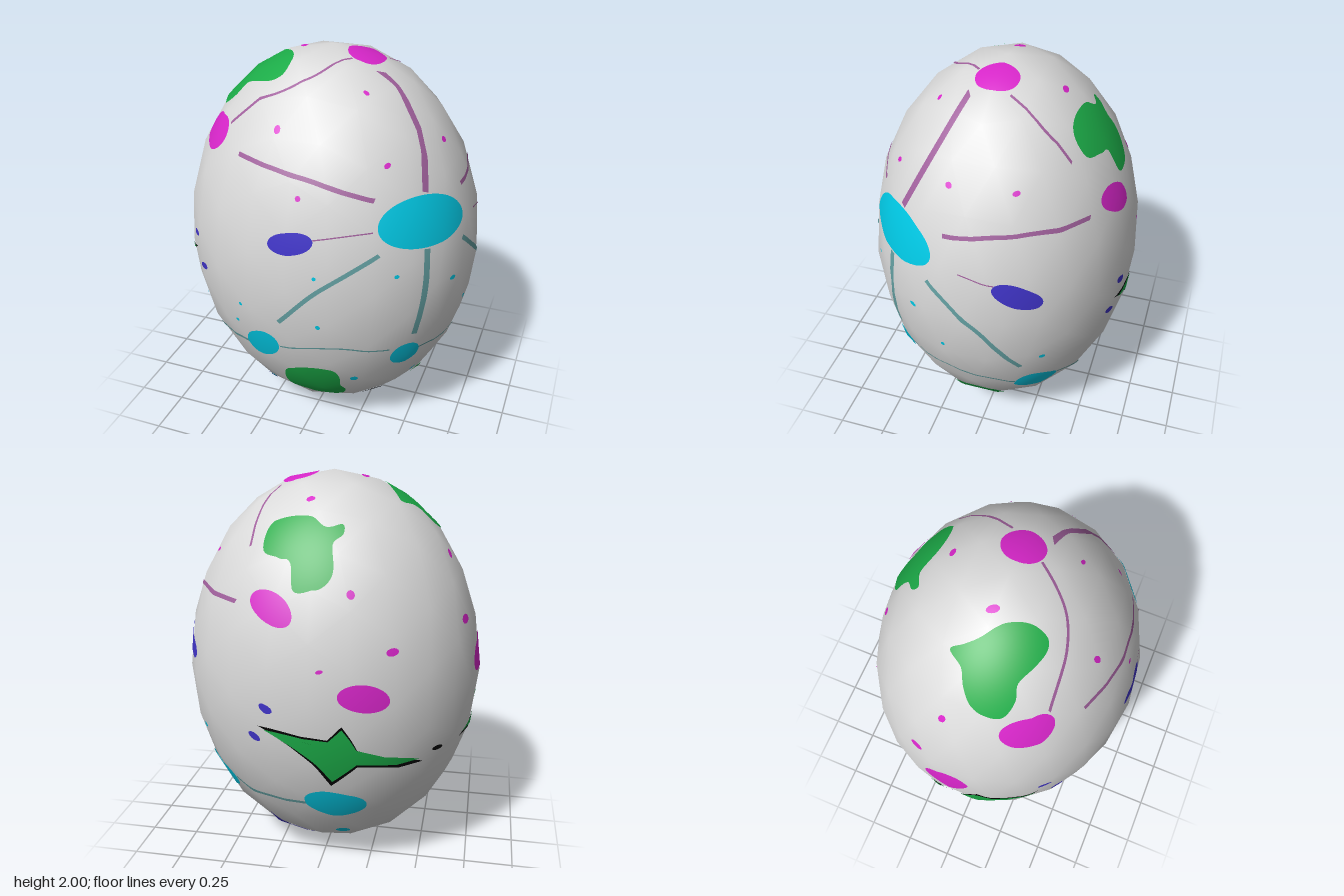
import * as THREE from 'three';

const RX = 0.765, RZ = 0.68;
const mat = (name, color) => {
  const m = new THREE.MeshStandardMaterial({ color });
  m.name = name;
  return m;
};
const PAINT = {
  shell: mat('shell grey', 0xdadada),
  cyan: mat('cyan', 0x00c8e4),
  green: mat('green', 0x1cac48),
  magenta: mat('magenta', 0xd826ca),
  indigo: mat('indigo', 0x4034c8),
  mauve: mat('mauve', 0xa0609c),
  teal: mat('teal', 0x64a0a2),
  black: mat('black', 0x020202),
};
const shellNormal = (p) => new THREE.Vector3(p.x / RX ** 2, p.y - 1, p.z / RZ ** 2).normalize();

// Sides from which paint is projected: [azimuth, elevation] in degrees
const FRONT = [0, 0], RIGHT = [90, 0], LEFT = [-90, 0], TOP = [0, 90];
const FR = [35, 25], BL = [215, 25], BR = [138, -29], LOWLEFT = [-60, -25];

export function createModel() {
  const group = new THREE.Group();
  group.name = 'paintedEgg';

  // Egg shell: faceted outline, smooth shading
  const eggGeo = new THREE.IcosahedronGeometry(1, 3).scale(RX, 1, RZ).translate(0, 1, 0);
  const pos = eggGeo.attributes.position, v3 = new THREE.Vector3();
  for (let i = 0; i < pos.count; i++) {
    const n = shellNormal(v3.fromBufferAttribute(pos, i));
    eggGeo.attributes.normal.setXYZ(i, n.x, n.y, n.z);
  }
  const egg = new THREE.Mesh(eggGeo, PAINT.shell);
  egg.name = 'eggShell';
  group.add(egg);

  // Drop a flat point (u, v) onto the shell
  const caster = new THREE.Raycaster();
  function project([az, el], u, v, lift) {
    const a = az * Math.PI / 180, e = el * Math.PI / 180;
    const right = new THREE.Vector3(Math.cos(a), 0, -Math.sin(a));
    const d = new THREE.Vector3(Math.cos(e) * Math.sin(a), Math.sin(e), Math.cos(e) * Math.cos(a));
    const up = d.clone().cross(right);
    for (let s = 1; s > 0.5; s -= 0.01) {
      const o = new THREE.Vector3(0, 1, 0).addScaledVector(right, u * s)
        .addScaledVector(up, v * s).addScaledVector(d, 3);
      caster.set(o, d.clone().negate());
      const hit = caster.intersectObject(egg, false)[0];
      if (hit) return hit.point.clone().addScaledVector(shellNormal(hit.point), lift);
    }
    return new THREE.Vector3(0, 1, 0);
  }

  // Build a thin painted sheet from rows of flat points
  function sheet(name, paint, view, rows, lift) {
    const xyz = [], nrm = [], idx = [], w = rows[0].length;
    rows.forEach((row, r) => row.forEach(([u, v], c) => {
      const p = project(view, u, v, lift), n = shellNormal(p);
      xyz.push(p.x, p.y, p.z);
      nrm.push(n.x, n.y, n.z);
      if (r && c) {
        const i = r * w + c;
        idx.push(i - w - 1, i - 1, i, i - w - 1, i, i - w);
      }
    }));
    const g = new THREE.BufferGeometry();
    g.setAttribute('position', new THREE.Float32BufferAttribute(xyz, 3));
    g.setAttribute('normal', new THREE.Float32BufferAttribute(nrm, 3));
    g.setIndex(idx);
    const m = new THREE.Mesh(g, paint);
    m.name = name;
    group.add(m);
  }

  // Filled outline, as rings around a centre
  function fill(name, paint, view, outline, [cu, cv], rings, lift = 0.005) {
    const pts = outline.map(([x, y]) => new THREE.Vector2(x, y));
    if (THREE.ShapeUtils.isClockWise(pts)) pts.reverse();
    pts.push(pts[0]);
    const rows = [];
    for (let k = 0; k <= rings; k++) {
      rows.push(pts.map((p) => [cu + (p.x - cu) * k / rings, cv + (p.y - cv) * k / rings]));
    }
    sheet(name, paint, view, rows, lift);
  }

  function spot(name, paint, view, [u, v, ru, rv = ru, deg = 0]) {
    const big = Math.max(ru, rv) > 0.04, n = big ? 48 : 14, t = deg * Math.PI / 180;
    const ring = Array.from({ length: n }, (_, i) => {
      const a = i / n * 2 * Math.PI, x = ru * Math.cos(a), y = rv * Math.sin(a);
      return [u + x * Math.cos(t) - y * Math.sin(t), v + x * Math.sin(t) + y * Math.cos(t)];
    });
    fill(name, paint, view, ring, [u, v], big ? 7 : 1);
  }

  // Closed outline: tension 0.5 is rounded, 0 is straight-edged
  function blob(name, paint, view, pts, centre, tension = 0.5, lift = 0.005) {
    const curve = new THREE.CatmullRomCurve3(pts.map(([x, y]) => new THREE.Vector3(x, y, 0)), true, 'catmullrom', tension);
    const ring = curve.getPoints(pts.length * 6).slice(0, -1).map((p) => [p.x, p.y]);
    fill(name, paint, view, ring, centre, 8, lift);
  }

  // Brush stroke along a path of [u, v], with a list of widths along it
  function stroke(name, paint, view, path, widths) {
    const curve = new THREE.CatmullRomCurve3(path.map(([x, y]) => new THREE.Vector3(x, y, 0)));
    const n = 28, cols = widths.length > 2 ? 4 : 1, rows = [];
    for (let i = 0; i <= n; i++) {
      const t = i / n, p = curve.getPoint(t), d = curve.getTangent(t);
      const f = t * (widths.length - 1), k = Math.min(Math.floor(f), widths.length - 2);
      const w = widths[k] + (widths[k + 1] - widths[k]) * (f - k);
      rows.push(Array.from({ length: cols + 1 }, (_, c) => {
        const s = (c / cols - 0.5) * w;
        return [p.x - d.y * s, p.y + d.x * s];
      }));
    }
    // columns run from right to left of the path, so go from its end back
    sheet(name, paint, view, rows, 0.004);
  }

  const spots = (name, paint, view, list) => list.forEach((s) => spot(name, paint, view, s));

  // Large ovals
  spots('cyanOval', PAINT.cyan, FR, [[0.255, 0.03, 0.232, 0.122, 3], [0.196, -0.637, 0.08, 0.057, 10]]);
  spots('cyanOval', PAINT.cyan, FRONT, [[-0.16, -0.38, 0.105, 0.08, 35]]);
  spots('cyanOval', PAINT.cyan, BR, [[-0.185, -0.183, 0.125, 0.09, -18], [0.438, -0.323, 0.125, 0.08, -60]]);
  spots('cyanOval', PAINT.cyan, LOWLEFT, [[-0.137, -0.175, 0.1]]);
  spots('indigoOval', PAINT.indigo, FRONT, [[0.02, 0.25, 0.11, 0.055, 12]]);
  spots('indigoOval', PAINT.indigo, RIGHT, [[0.25, 0.155, 0.12, 0.055, -28]]);
  spots('magentaOval', PAINT.magenta, TOP, [[0.166, 0, 0.09, 0.102]]);
  spots('magentaOval', PAINT.magenta, FRONT, [[-0.485, 0.6, 0.105, 0.062, 42]]);
  spots('magentaOval', PAINT.magenta, BL, [[-0.48, 0.237, 0.105, 0.055, -65], [-0.15, -0.24, 0.12, 0.06, -18]]);
  spots('magentaOval', PAINT.magenta, LEFT, [[-0.03, 0.11, 0.12, 0.085, 22]]);
  spots('blackSpot', PAINT.black, FRONT, [[0.3, -0.835, 0.052, 0.036, 15]]);
  spots('blackSpot', PAINT.black, BL, [[0.26, -0.53, 0.034, 0.011, 5]]);

  // Small dots
  spots('cyanDot', PAINT.cyan, FRONT, [[-0.2, -0.75, 0.022, 0.018], [0.285, -0.57, 0.022, 0.016, 40],
    [0.14, 0.093, 0.01], [0.49, 0.093, 0.01], [0.7, -0.01, 0.009, 0.013], [0.153, -0.18, 0.012],
    [-0.26, -0.156, 0.01], [-0.3, -0.283, 0.01], [-0.582, -0.315, 0.012]]);
  spots('cyanDot', PAINT.cyan, RIGHT, [[-0.233, -0.627, 0.016], [-0.106, -0.2, 0.01], [0.355, -0.272, 0.013]]);
  spots('cyanDot', PAINT.cyan, BR, [[-0.04, -0.61, 0.03, 0.025], [0.336, -0.607, 0.024, 0.03]]);
  spots('indigoDot', PAINT.indigo, FRONT, [[-0.58, 0.085, 0.026, 0.017, 25], [-0.525, -0.075, 0.03, 0.018, 25]]);
  spots('indigoDot', PAINT.indigo, BR, [[0.277, 0.27, 0.036, 0.017, -35], [0.207, 0.14, 0.036, 0.018, -30]]);
  spots('magentaDot', PAINT.magenta, FRONT, [[0.045, 0.457, 0.013], [0.397, 0.59, 0.012], [-0.103, 0.714, 0.016]]);
  spots('magentaDot', PAINT.magenta, RIGHT, [[-0.095, 0.623, 0.016, 0.013], [0.202, 0.617, 0.016, 0.011]]);
  spots('magentaDot', PAINT.magenta, TOP, [[-0.155, 0.008, 0.03, 0.018, -60], [0.057, 0.287, 0.022, 0.014],
    [-0.584, 0.078, 0.011, 0.018], [0.244, -0.25, 0.014, 0.01]]);
  spots('magentaDot', PAINT.magenta, BL, [[-0.172, 0.226, 0.018, 0.022], [0.446, 0.06, 0.03, 0.022, 30],
    [-0.016, -0.054, 0.03, 0.018], [-0.333, -0.086, 0.015, 0.009]]);

  // Green blobs
  blob('greenBlob', PAINT.green, TOP, [[-0.35, 0.123], [-0.315, 0.07], [-0.27, 0.01], [-0.19, -0.06], [-0.15, -0.15],
    [-0.158, -0.235], [-0.205, -0.258], [-0.285, -0.234], [-0.37, -0.193], [-0.43, -0.205], [-0.5, -0.176],
    [-0.526, -0.1], [-0.51, -0.03], [-0.46, 0.02], [-0.4, 0.053]], [-0.34, -0.09]);
  blob('greenBlob', PAINT.green, TOP, [[-0.02, 0.575], [0.08, 0.57], [0.105, 0.512], [0.166, 0.488], [0.248, 0.44],
    [0.236, 0.373], [0.154, 0.357], [0.043, 0.373], [-0.04, 0.41], [-0.112, 0.385], [-0.12, 0.42], [-0.08, 0.463],
    [-0.092, 0.533]], [0.04, 0.46]);
  blob('greenBlob', PAINT.green, FRONT, [[-0.075, -0.6], [-0.03, -0.527], [0.07, -0.49], [0.185, -0.493],
    [0.215, -0.56], [0.206, -0.65], [0.212, -0.735], [0.137, -0.81], [0.02, -0.775], [-0.07, -0.735]], [0.07, -0.63]);
  blob('greenBlob', PAINT.green, RIGHT, [[-0.18, -0.743], [-0.138, -0.664], [-0.02, -0.638], [0.1, -0.664],
    [0.138, -0.743], [0.116, -0.823], [0.02, -0.876], [-0.095, -0.865], [-0.164, -0.812]], [-0.02, -0.76]);

  // Four-pointed green stars with black edges
  const stars = [
    [BL, [-0.247, -0.48], [[-0.548, -0.296], [-0.398, -0.371], [-0.3, -0.405], [-0.247, -0.36], [-0.177, -0.468],
      [-0.032, -0.527], [0.156, -0.565], [0.02, -0.572], [-0.167, -0.538], [-0.263, -0.6], [-0.335, -0.51], [-0.435, -0.405]]],
    [LEFT, [0.13, -0.13], [[0.4, -0.02], [0.27, -0.06], [0.13, 0], [0.06, -0.1], [-0.05, -0.2], [-0.195, -0.27],
      [0, -0.25], [0.1, -0.22], [0.18, -0.32], [0.21, -0.19], [0.3, -0.1]]],
  ];
  for (const [view, c, pts] of stars) {
    const rim = pts.map(([u, v]) => [c[0] + (u - c[0]) * 1.06, c[1] + (v - c[1]) * 1.14 - 0.004]);
    blob('starEdge', PAINT.black, view, rim, c, 0, 0.004);
    blob('greenStar', PAINT.green, view, pts, c, 0, 0.0065);
  }

  // Indigo crescents near the bottom
  stroke('indigoCrescent', PAINT.indigo, FRONT, [[-0.345, -0.635], [-0.315, -0.74], [-0.24, -0.83], [-0.13, -0.89],
    [-0.03, -0.925], [0.06, -0.925]], [0.01, 0.06, 0.1, 0.09, 0.08, 0.03]);
  stroke('indigoCrescent', PAINT.indigo, BR, [[0.05, -0.425], [0.078, -0.555], [0.078, -0.67], [0.015, -0.77],
    [-0.07, -0.83], [-0.14, -0.86]], [0.005, 0.06, 0.1, 0.11, 0.11, 0.03]);

  // Thin mauve and teal lines linking the ovals
  const lines = [
    [PAINT.mauve, RIGHT, [[-0.1, 0.913], [-0.2, 0.71], [-0.33, 0.455]], 0.026],
    [PAINT.mauve, RIGHT, [[-0.1, 0.415], [0.23, 0.452], [0.5, 0.437]], 0.02],
    [PAINT.mauve, FRONT, [[-0.29, 0.58], [0.06, 0.542], [0.37, 0.455]], 0.02],
    [PAINT.mauve, TOP, [[0.326, 0.39], [0.31, 0.245], [0.25, 0.085]], 0.012],
    [PAINT.mauve, TOP, [[0.125, -0.1], [-0.02, -0.266], [-0.16, -0.33], [-0.39, -0.35]], 0.012],
    [PAINT.mauve, FR, [[-0.26, 0.003], [0, 0.01]], 0.006],
    [PAINT.mauve, RIGHT, [[-0.015, 0.257], [0.15, 0.22]], 0.006],
    [PAINT.teal, FRONT, [[0.413, 0.21], [0.143, 0.013], [-0.048, -0.193]], 0.022],
    [PAINT.teal, FR, [[0.266, -0.1], [0.26, -0.3], [0.228, -0.53]], 0.032],
    [PAINT.teal, RIGHT, [[-0.175, 0.172], [0.074, -0.055], [0.26, -0.336]], 0.024],
    [PAINT.teal, FRONT, [[-0.57, -0.474], [-0.254, -0.415]], 0.018],
    [PAINT.teal, FRONT, [[-0.058, -0.362], [0.222, -0.32], [0.46, -0.357]], 0.009],
    [PAINT.teal, RIGHT, [[-0.34, -0.4], [-0.085, -0.415], [0.222, -0.495]], 0.01],
    [PAINT.teal, BR, [[-0.06, -0.183], [0.357, -0.28]], 0.018],
    [PAINT.teal, BR, [[-0.126, -0.366], [-0.07, -0.47], [-0.045, -0.58]], 0.007],
  ];
  // each path is walked backwards or forwards alike: its left edge always comes last
  for (const [paint, view, path, width] of lines) stroke('paintedLine', paint, view, path, [width, width]);

  return group;
}
